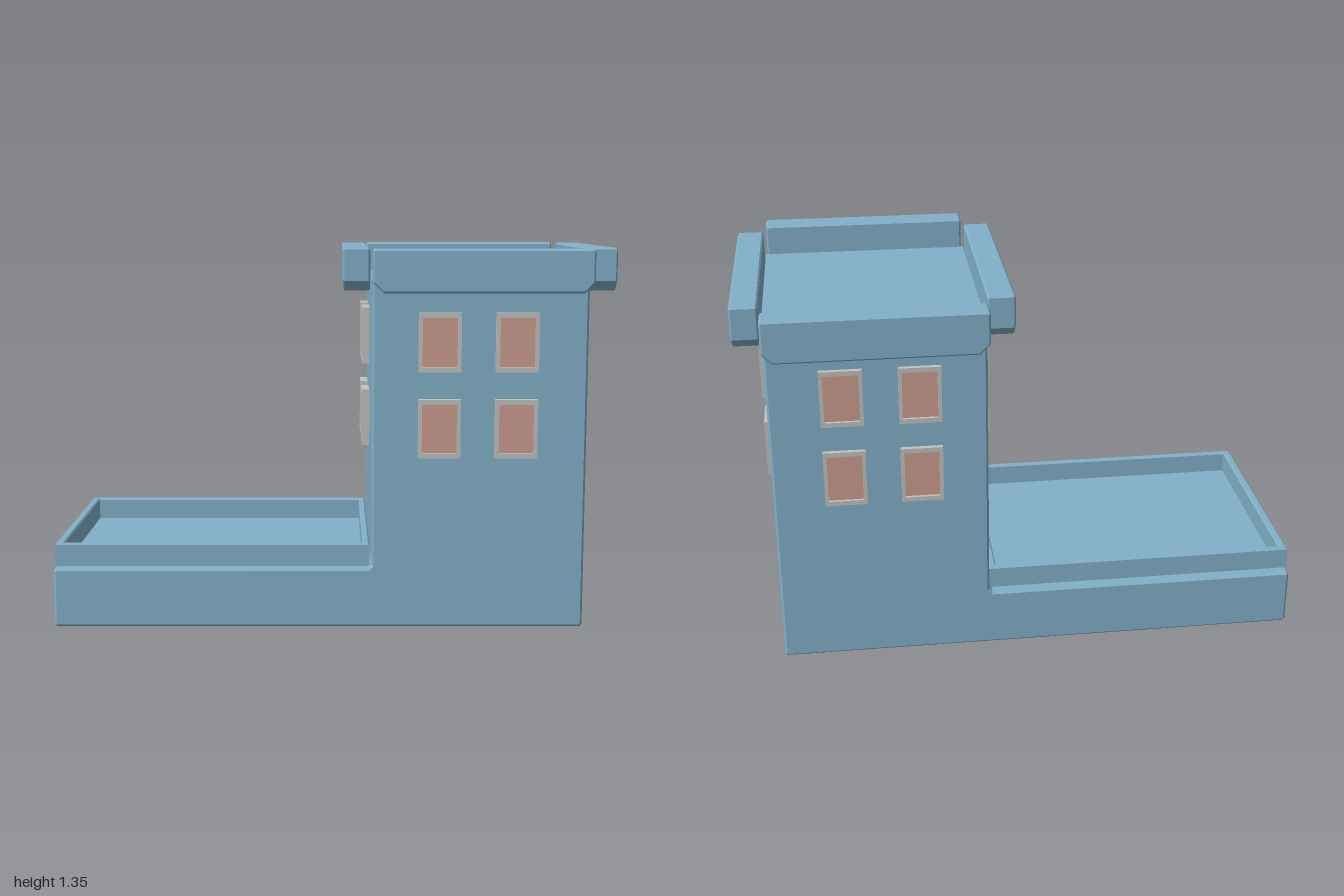
import * as THREE from 'three';

function material(name, color) {
  const m = new THREE.MeshStandardMaterial({ color });
  m.name = name;
  return m;
}

// Extruded outline with slim bevels, centred on its depth axis
function slab(points, depth, bevel, hole) {
  const toVectors = (list) => list.map(([x, y]) => new THREE.Vector2(x, y));
  const shape = new THREE.Shape(toVectors(points));
  if (hole) shape.holes.push(new THREE.Path(toVectors(hole)));
  const geometry = new THREE.ExtrudeGeometry(shape, {
    depth: depth - 2 * bevel,
    bevelEnabled: bevel > 0,
    bevelThickness: bevel,
    bevelSize: bevel,
    bevelOffset: -bevel,
    bevelSegments: 1,
  });
  return geometry.translate(0, 0, -depth / 2 + bevel);
}

const rect = (x0, y0, x1, y1) => [[x0, y0], [x1, y0], [x1, y1], [x0, y1]];

export function createModel() {
  const model = new THREE.Group();
  model.name = 'towerBuilding';
  const wall = material('blueWall', 0x82b0c9);
  const trim = material('greyFrame', 0xc2c2c0);
  const glass = material('pinkPane', 0xcc9d90);

  function add(parent, name, geometry, mat, x = 0, y = 0, z = 0) {
    const mesh = new THREE.Mesh(geometry, mat);
    mesh.name = name;
    mesh.position.set(x, y, z);
    parent.add(mesh);
    return mesh;
  }

  // Tower and low wing as one L-shaped body
  const c = 0.008;
  add(model, 'body', slab([
    [-1 + c, 0], [0.893 - c, 0], [0.893, c], [0.893, 1.238 - c], [0.893 - c, 1.238],
    [0.136 + c, 1.238], [0.136, 1.238 - c], [0.136, 0.225], [0.124, 0.213],
    [-1 + c, 0.213], [-1, 0.213 - c], [-1, c],
  ], 0.932, 0.008), wall);

  // Low parapet around the wing's flat roof
  const parapet = slab(rect(-1, -0.425, 0.13, 0.425), 0.09, 0.005,
    rect(-0.97, -0.4, 0.105, 0.4));
  parapet.rotateX(-Math.PI / 2);
  add(model, 'wingParapet', parapet, wall, 0, 0.25, 0);

  // Thin ledge that carries the tower's roof rails
  add(model, 'roofLedge', new THREE.BoxGeometry(0.77, 0.015, 0.956), wall, 0.515, 1.232, 0);

  // Roof rails with clipped lower corners
  function railGeometry(length) {
    const h = length / 2, k = 0.035, e = 0.006;
    return slab([
      [-h + k, 1.2], [h - k, 1.2], [h, 1.2 + k], [h, 1.35 - e], [h - e, 1.35],
      [-h + e, 1.35], [-h, 1.35 - e], [-h, 1.2 + k],
    ], 0.096, 0.006);
  }
  for (const side of [-1, 1]) {
    add(model, side > 0 ? 'frontRail' : 'backRail', railGeometry(0.757), wall, 0.515, 0, side * 0.521);
    const rail = add(model, side > 0 ? 'leftRail' : 'rightRail', railGeometry(0.836), wall,
      side > 0 ? 0.949 : 0.082, 0, -0.003);
    rail.rotation.y = Math.PI / 2;
  }

  // Windows: grey frame with a recessed pane
  const frameGeometry = slab(rect(-0.074, -0.103, 0.074, 0.103), 0.028, 0,
    rect(-0.061, -0.086, 0.061, 0.086));
  const paneGeometry = new THREE.BoxGeometry(0.124, 0.174, 0.009);
  function addWindow(name, x, y, z, turn) {
    const group = new THREE.Group();
    group.name = name;
    add(group, 'windowFrame', frameGeometry, trim);
    add(group, 'windowPane', paneGeometry, glass, 0, 0, -0.001);
    group.position.set(x, y, z);
    group.rotation.y = turn;
    model.add(group);
  }
  for (const y of [0.724, 1.027]) {
    for (const x of [0.371, 0.64]) {
      addWindow('frontWindow', x, y, 0.498, 0);
      addWindow('backWindow', x, y, -0.469, Math.PI);
    }
    for (const z of [0.145, -0.124]) {
      addWindow('leftWindow', 0.906, y, z, Math.PI / 2);
      addWindow('rightWindow', 0.119, y, z, -Math.PI / 2);
    }
  }
  return model;
}
